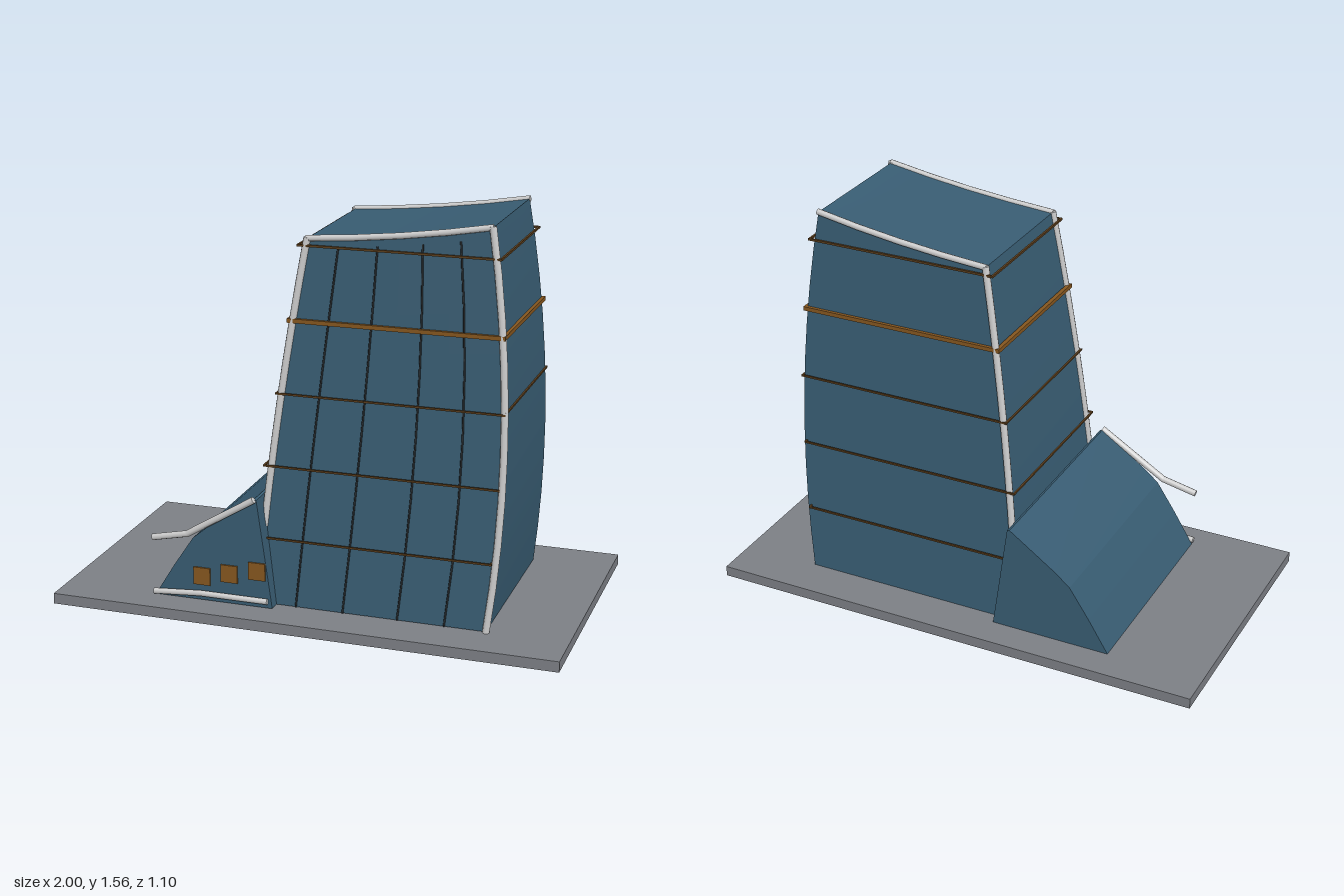
import * as THREE from 'three';

const paint = (color) => new THREE.MeshStandardMaterial({ color });
const glass = paint(0x385c72), slate = paint(0x7c7f85), white = paint(0xe6e6e6);
const bronze = paint(0x85561f), darkBronze = paint(0x5a3d1c), dark = paint(0x262b2e);
const FOOT = 0.045;

// Tower outline: curved left and right edges, tapering depth, sloping roof
const leftX = (y) => { const t = y - FOOT; return -0.22 + 0.075 * t + 0.035 * t * t; };
const rightX = (y) => { const t = y - FOOT; return 0.685 + 0.127 * t - 0.099 * t * t; };
const halfZ = (y) => 0.383 - 0.07 * (y - FOOT);
const roofY = (u) => 1.46 + 0.085 * u - 0.04 * u * (1 - u);

// Point on the tower: u across, v up, side = -1 back to 1 front
function towerPoint(u, v, side) {
  const y = FOOT + v * (roofY(u) - FOOT);
  return new THREE.Vector3(THREE.MathUtils.lerp(leftX(y), rightX(y), u), y, side * halfZ(y));
}

function add(group, name, geometry, material, x = 0, y = 0, z = 0) {
  const mesh = new THREE.Mesh(geometry, material);
  mesh.name = name;
  mesh.position.set(x, y, z);
  group.add(mesh);
  return mesh;
}

// Row of capped round bars through a list of points
function addBar(group, name, points, radius, material, sides = 8) {
  const bar = new THREE.Group();
  bar.name = name;
  for (let i = 1; i < points.length; i++) {
    const a = points[i - 1], d = points[i].clone().sub(a);
    const mesh = add(bar, name + 'Segment', new THREE.CylinderGeometry(radius, radius, d.length() + radius * 0.5, sides), material);
    mesh.position.copy(a).addScaledVector(d, 0.5);
    mesh.quaternion.setFromUnitVectors(new THREE.Vector3(0, 1, 0), d.normalize());
  }
  group.add(bar);
}

const steps = (n, fn) => Array.from({ length: n + 1 }, (_, i) => fn(i / n));

function buildTower() {
  const tower = new THREE.Group();
  tower.name = 'tower';

  // Glazed body
  const body = new THREE.BoxGeometry(1, 1, 1, 4, 10, 1);
  const pos = body.attributes.position;
  for (let i = 0; i < pos.count; i++) {
    const p = towerPoint(pos.getX(i) + 0.5, pos.getY(i) + 0.5, pos.getZ(i) * 2);
    pos.setXYZ(i, p.x, p.y, p.z);
  }
  body.computeVertexNormals();
  add(tower, 'towerBody', body, glass);

  // White trim on the roof and on three of the corners
  for (const side of [1, -1]) {
    addBar(tower, 'roofTrim', steps(4, (t) => towerPoint(t, 1, side)), 0.012, white);
    addBar(tower, 'leftCornerTrim', steps(7, (t) => towerPoint(0, 0.22 + 0.78 * t, side)), 0.014, white);
  }
  addBar(tower, 'rightCornerTrim', steps(9, (t) => towerPoint(1, t, 1)), 0.014, white);

  // Horizontal bands: height, left x, right x, half depth, thickness
  const bands = [
    [0.31, -0.20, 0.70, 0.383, 0.007], [0.592, -0.197, 0.718, 0.361, 0.007],
    [0.873, -0.153, 0.728, 0.340, 0.007], [1.152, -0.113, 0.716, 0.318, 0.016],
    [1.434, -0.079, 0.692, 0.298, 0.008],
  ];
  for (const [y, x0, x1, z, h] of bands) {
    const band = new THREE.Group();
    band.name = 'band';
    const mat = h > 0.01 ? bronze : darkBronze;
    for (const s of [1, -1]) {
      add(band, 'bandLong', new THREE.BoxGeometry(x1 - x0, h, h), mat, (x0 + x1) / 2, y, s * (z - h / 2));
      add(band, 'bandShort', new THREE.BoxGeometry(h, h, 2 * z), mat, s > 0 ? x1 - h / 2 : x0 + h / 2, y, 0);
    }
    tower.add(band);
  }

  // Thin mullions on the front
  for (const u of [0.175, 0.382, 0.62, 0.822]) {
    addBar(tower, 'mullion', steps(6, (t) => towerPoint(u, t * 0.975, 1)), 0.004, dark, 6);
  }
  return tower;
}

function buildHall() {
  const hall = new THREE.Group();
  hall.name = 'entranceHall';

  // Side hall with a faceted sloping roof
  const profile = [[-0.62, FOOT], [-0.54, 0.175], [-0.46, 0.295], [-0.4, 0.345], [-0.21, 0.478], [-0.2, 0.475], [-0.14, FOOT]];
  const shape = new THREE.Shape(profile.map(([x, y]) => new THREE.Vector2(x, y)));
  const body = new THREE.ExtrudeGeometry(shape, { depth: 0.86, bevelEnabled: false });
  add(hall, 'hallBody', body, glass, 0, 0, -0.43);

  // Small front windows, stepping upwards
  for (const [x, y] of [[-0.425, 0.143], [-0.313, 0.166], [-0.2, 0.19]]) {
    add(hall, 'hallWindow', new THREE.BoxGeometry(0.068, 0.07, 0.01), bronze, x, y, 0.432);
  }

  // White rails along the canopy and the foot
  const rail = (pts) => pts.map(([x, y]) => new THREE.Vector3(x, y, 0.438));
  addBar(hall, 'canopyRail', rail([[-0.62, 0.282], [-0.48, 0.312], [-0.21, 0.477]]), 0.013, white);
  addBar(hall, 'footRail', rail([[-0.62, 0.06], [-0.43, 0.074], [-0.16, 0.074]]), 0.012, white);
  return hall;
}

export function createModel() {
  const model = new THREE.Group();
  model.name = 'building';
  add(model, 'groundSlab', new THREE.BoxGeometry(2, 0.042, 1.1), slate, 0, 0.021, 0);
  model.add(buildTower(), buildHall());
  return model;
}
